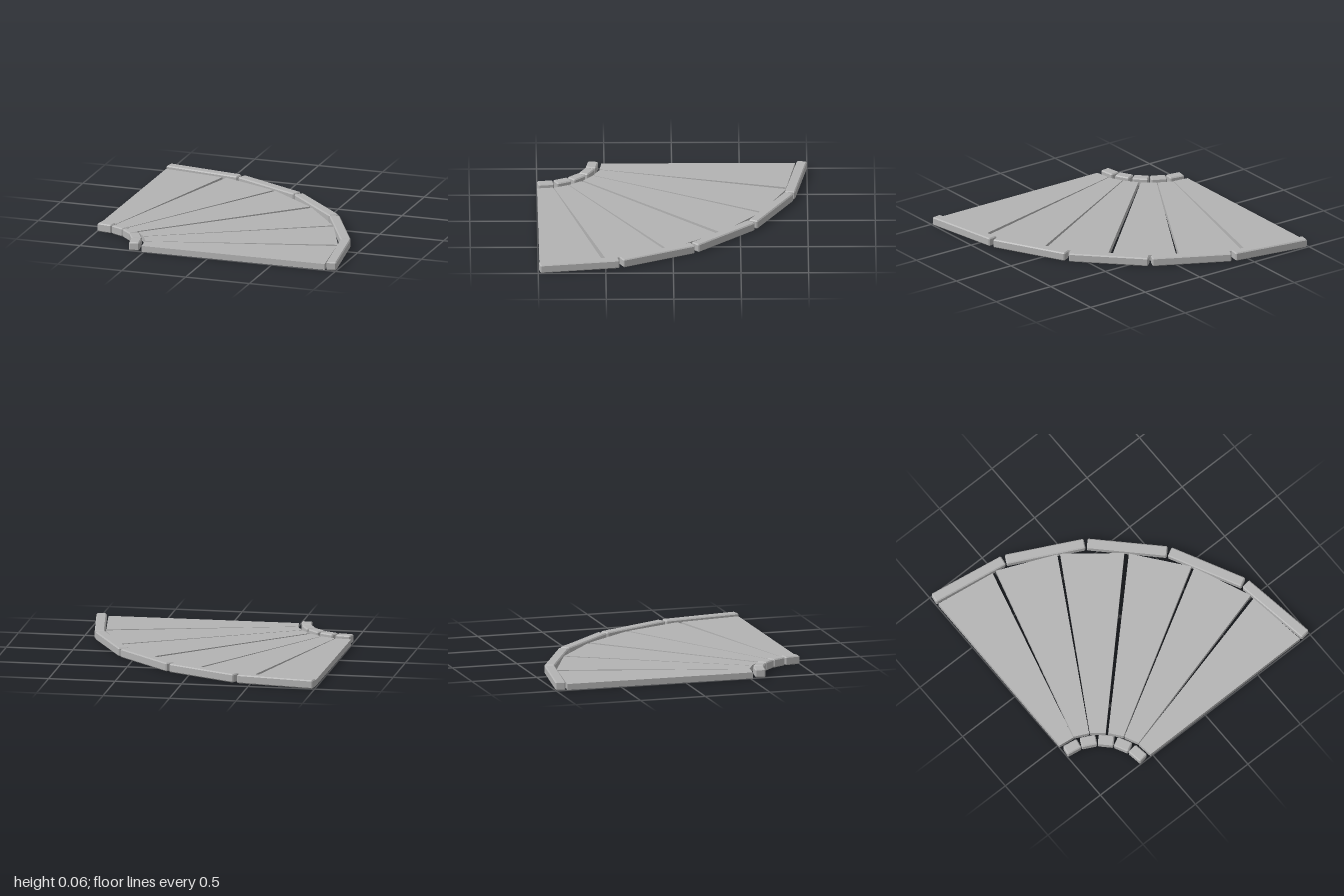
import * as THREE from 'three';
import { ConvexGeometry } from 'three/addons/geometries/ConvexGeometry.js';

const stone = new THREE.MeshStandardMaterial({ color: 0xb3b3b3 });
stone.name = 'grey stone';

// Box with small flat chamfers on every edge
function chamferedBox(w, h, d, c) {
  const points = [];
  for (const sx of [-1, 1]) for (const sy of [-1, 1]) for (const sz of [-1, 1]) {
    const x = w / 2, y = h / 2, z = d / 2;
    points.push(
      new THREE.Vector3(sx * x, sy * (y - c), sz * (z - c)),
      new THREE.Vector3(sx * (x - c), sy * y, sz * (z - c)),
      new THREE.Vector3(sx * (x - c), sy * (y - c), sz * z)
    );
  }
  return new ConvexGeometry(points);
}

// Flat slab from [x, z] corners, standing on y = 0
function slab(corners, height) {
  const shape = new THREE.Shape(corners.map(([x, z]) => new THREE.Vector2(x, -z)));
  const geometry = new THREE.ExtrudeGeometry(shape, { depth: height, bevelEnabled: false });
  return geometry.rotateX(-Math.PI / 2);
}

export function createModel() {
  const model = new THREE.Group();
  model.name = 'curvedPath';

  const add = (geometry, name) => {
    const mesh = new THREE.Mesh(geometry, stone);
    mesh.name = name;
    model.add(mesh);
    return mesh;
  };

  // Paving wedges: three, mirrored across the diagonal of the quarter turn
  const wedges = [
    [[-0.99, -0.912], [-0.527, -0.845], [-0.88, 0.535], [-0.998, 0.52]],
    [[-0.495, -0.845], [-0.062, -0.658], [-0.768, 0.583], [-0.874, 0.532]],
    [[-0.042, -0.648], [0.329, -0.353], [-0.671, 0.658], [-0.762, 0.585]]
  ];
  wedges.forEach((corners, i) => {
    add(slab(corners, 0.045), `pavingWedge${i + 1}`);
    add(slab(corners.map(([x, z]) => [-z, -x]), 0.045), `pavingWedge${6 - i}`);
  });

  // Kerb blocks on the outer and inner arcs, around the corner at (-1, 1)
  const rows = [
    { name: 'outerKerb', radius: 1.941, length: 0.595, width: 0.076 },
    { name: 'innerKerb', radius: 0.415, length: 0.117, width: 0.078 }
  ];
  for (const { name, radius, length, width } of rows) {
    const geometry = chamferedBox(length, 0.064, width, 0.008);
    for (let i = 0; i < 5; i++) {
      const angle = THREE.MathUtils.degToRad(9 + 18 * i);
      const block = add(geometry, `${name}${i + 1}`);
      block.position.set(-1 + radius * Math.sin(angle), 0.032, 1 - radius * Math.cos(angle));
      block.rotation.y = -angle;
    }
  }
  return model;
}
